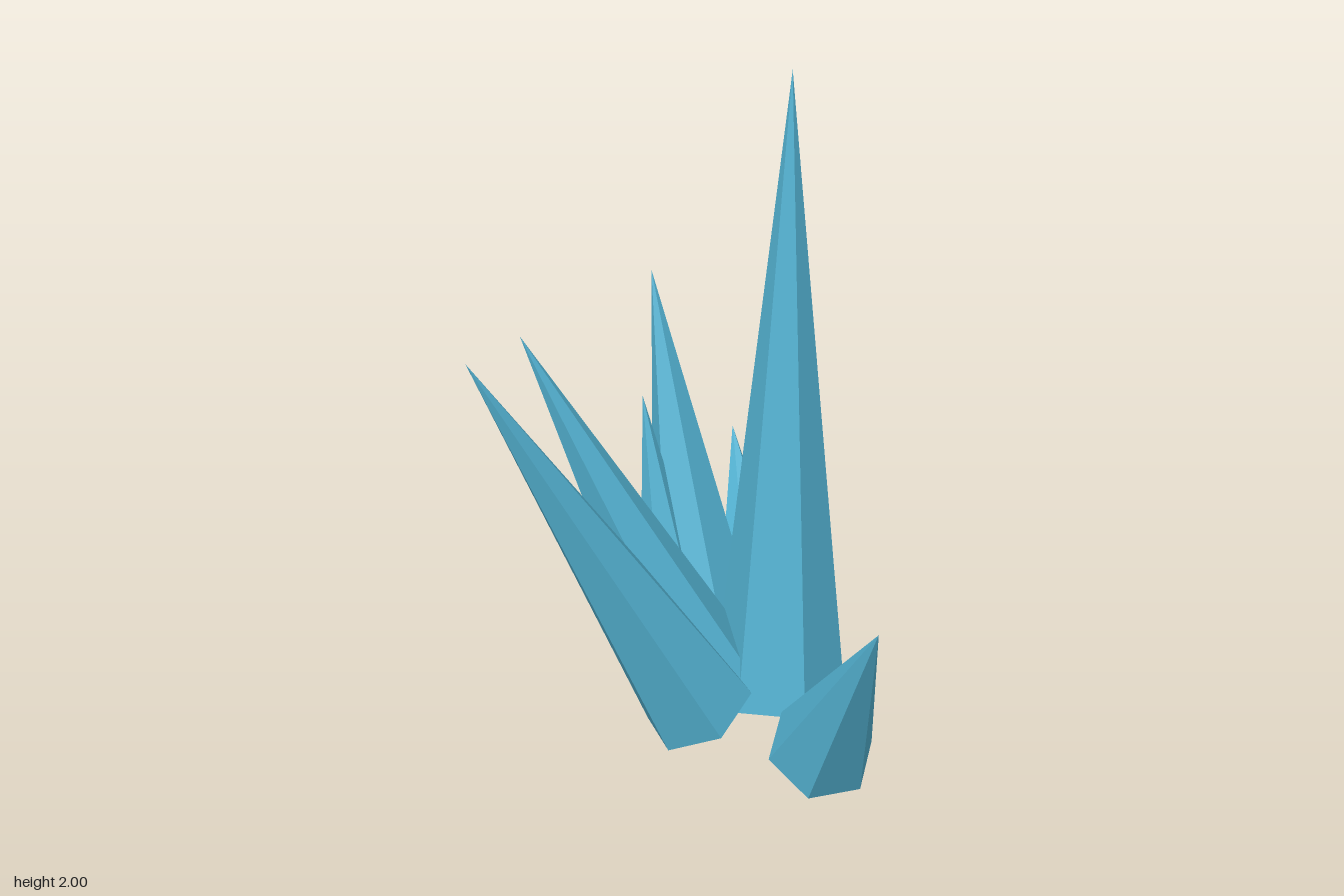
import * as THREE from 'three';

const UP = new THREE.Vector3(0, 1, 0);

// Each crystal: name, base centre, tip, base radius, spin in degrees about its own axis
const CRYSTALS = [
  ['mainCrystal', [0.4, 0.083, -0.11], [0.395, 2, -0.11], 0.204, 0],
  ['leftLongCrystal', [0.128, 0.085, -0.085], [-0.58, 1.33, 0.04], 0.175, 0],
  ['leftInnerCrystal', [0.205, 0.095, -0.15], [-0.36, 1.29, -0.22], 0.175, 38],
  ['backTallCrystal', [0.265, 0.09, -0.355], [0.15, 1.32, -0.57], 0.185, 0],
  ['backSmallCrystal', [0.175, 0.06, -0.35], [0.08, 0.965, -0.455], 0.14, 18],
  ['backLeaningCrystal', [0.425, 0.087, -0.31], [0.46, 0.73, -0.67], 0.157, 30],
  ['frontCrystal', [0.37, 0.088, 0.275], [0.34, 0.68, 0.67], 0.16, 27],
];

// Six-sided spike standing on a flat hexagonal base, leaning towards its tip
function makeCrystal([name, base, tip, radius, spin], material) {
  const foot = new THREE.Vector3(...base);
  const axis = new THREE.Vector3(...tip).sub(foot);
  const height = axis.length();
  const cone = new THREE.ConeGeometry(radius, height, 6, 1);
  cone.translate(0, height / 2, 0);
  cone.rotateY(THREE.MathUtils.degToRad(spin));
  const geometry = cone.toNonIndexed();
  geometry.computeVertexNormals();

  const mesh = new THREE.Mesh(geometry, material);
  mesh.name = name;
  mesh.position.copy(foot);
  mesh.quaternion.setFromUnitVectors(UP, axis.normalize());
  return mesh;
}

export function createModel() {
  const group = new THREE.Group();
  group.name = 'crystalCluster';
  const crystalBlue = new THREE.MeshStandardMaterial({ color: 0x55b5d5 });
  crystalBlue.name = 'crystalBlue';
  crystalBlue.flatShading = true;
  for (const spec of CRYSTALS) group.add(makeCrystal(spec, crystalBlue));
  return group;
}
